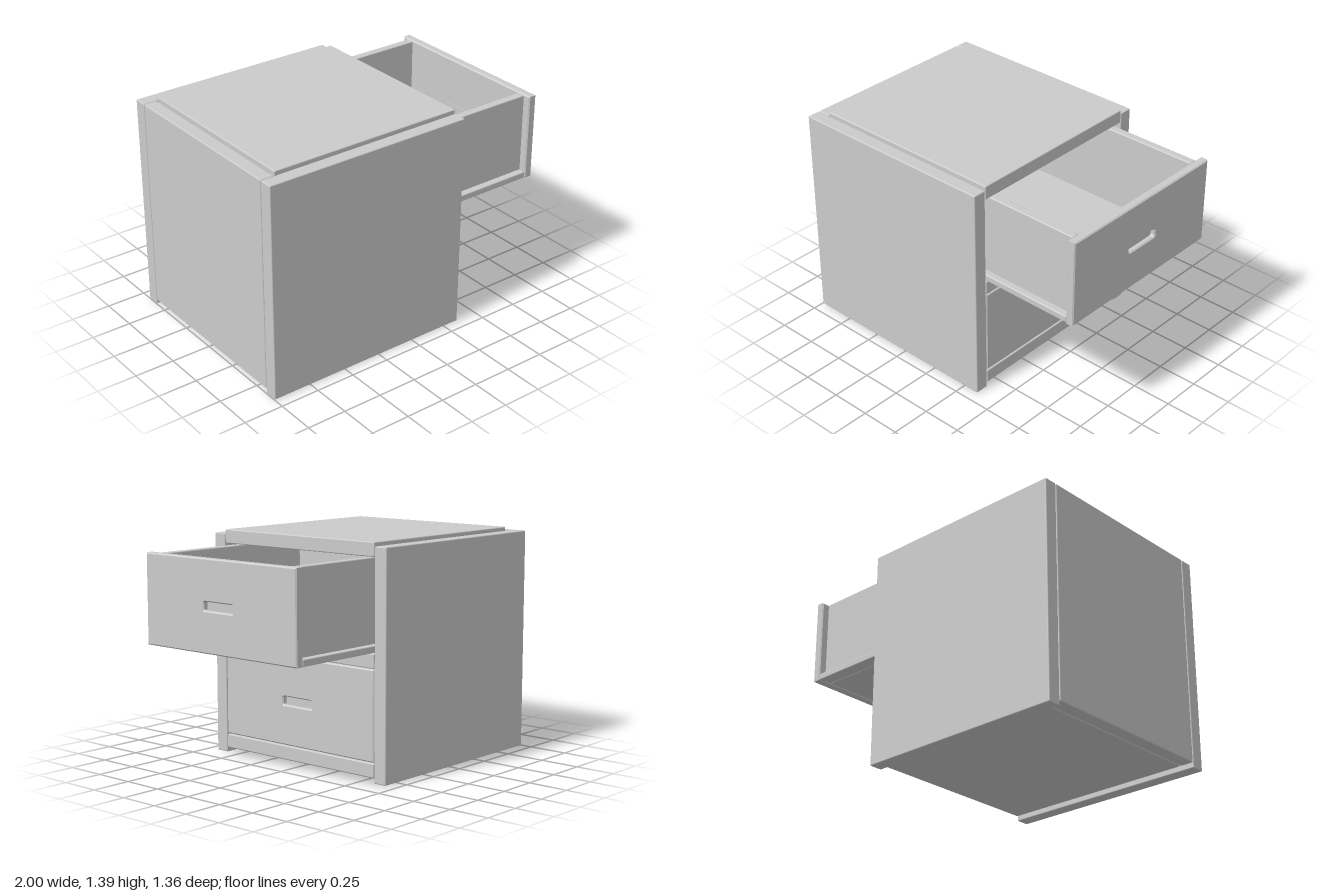
import * as THREE from 'three';
import { RoundedBoxGeometry } from 'three/addons/geometries/RoundedBoxGeometry.js';

const material = new THREE.MeshStandardMaterial({ color: 0xcccccc });
const BEVEL = 0.007;

// Board with eased edges, given by its limits on each axis
function board(name, [x0, x1], [y0, y1], [z0, z1]) {
  const geometry = new RoundedBoxGeometry(x1 - x0, y1 - y0, z1 - z0, 2, BEVEL);
  const mesh = new THREE.Mesh(geometry, material);
  mesh.name = name;
  mesh.position.set((x0 + x1) / 2, (y0 + y1) / 2, (z0 + z1) / 2);
  return mesh;
}

// Rectangle with rounded corners, centred on (0, cy)
function roundedRect(path, w, h, r, cy = 0) {
  const x = w / 2, y0 = cy - h / 2, y1 = cy + h / 2;
  path.moveTo(-x + r, y0);
  path.lineTo(x - r, y0);
  path.quadraticCurveTo(x, y0, x, y0 + r);
  path.lineTo(x, y1 - r);
  path.quadraticCurveTo(x, y1, x - r, y1);
  path.lineTo(-x + r, y1);
  path.quadraticCurveTo(-x, y1, -x, y1 - r);
  path.lineTo(-x, y0 + r);
  path.quadraticCurveTo(-x, y0, -x + r, y0);
  return path;
}

// Drawer built with its front face at x = 0 and its underside at y = 0
function createDrawer(name) {
  const drawer = new THREE.Group();
  drawer.name = name;
  const height = 0.54, thick = 0.054;

  // Front panel with a recessed finger slot
  const shape = new THREE.Shape();
  const x = 0.59, h = height / 2;
  shape.moveTo(-x, -h);
  shape.lineTo(x, -h);
  shape.lineTo(x, h);
  shape.lineTo(-x, h);
  shape.closePath();
  shape.holes.push(roundedRect(new THREE.Path(), 0.232, 0.052, 0.014));
  const geometry = new THREE.ExtrudeGeometry(shape, {
    depth: thick - 2 * BEVEL, bevelEnabled: true, bevelSegments: 1,
    bevelSize: BEVEL, bevelThickness: BEVEL, bevelOffset: -BEVEL, curveSegments: 5,
  });
  geometry.translate(0, 0, BEVEL - thick);
  geometry.rotateY(Math.PI / 2);
  const front = new THREE.Mesh(geometry, material);
  front.name = 'drawerFront';
  front.position.y = h;
  drawer.add(front);
  drawer.add(board('slotBack', [-thick + 0.001, -0.03], [h - 0.04, h + 0.04], [-0.13, 0.13]));

  // Box behind the front
  const back = -1.25;
  for (const s of [-1, 1]) {
    const span = (a, b) => [Math.min(s * a, s * b), Math.max(s * a, s * b)];
    drawer.add(board('drawerSide', [back, -thick], [0.005, height - 0.003], span(0.495, 0.545)));
    drawer.add(board('drawerRunner', [back, -thick], [0, 0.042], span(0.54, 0.588)));
  }
  drawer.add(board('drawerBack', [back, back + 0.05], [0.005, height - 0.003], [-0.494, 0.494]));
  drawer.add(board('drawerFloor', [back + 0.05, -thick - 0.003], [0.005, 0.045], [-0.494, 0.494]));
  return drawer;
}

export function createModel() {
  const model = new THREE.Group();
  model.name = 'drawerCabinet';

  // Carcass
  const depth = [-0.907, 0.355], inner = [-0.59, 0.59];
  model.add(board('leftSidePanel', [-0.998, 0.355], [0, 1.362], [0.593, 0.678]));
  model.add(board('rightSidePanel', [-0.998, 0.355], [0, 1.362], [-0.678, -0.593]));
  model.add(board('backPanel', [-0.998, -0.912], [0.03, 1.362], inner));
  model.add(board('bottomPanel', depth, [0.03, 0.115], inner));
  model.add(board('middleShelf', depth, [0.665, 0.752], inner));
  model.add(board('topPanel', depth, [1.301, 1.386], inner));

  // Lower drawer closed, upper drawer pulled out
  const lower = createDrawer('lowerDrawer');
  lower.position.set(0.355, 0.12, 0);
  const upper = createDrawer('upperDrawer');
  upper.position.set(0.997, 0.757, 0);
  model.add(lower, upper);
  return model;
}
